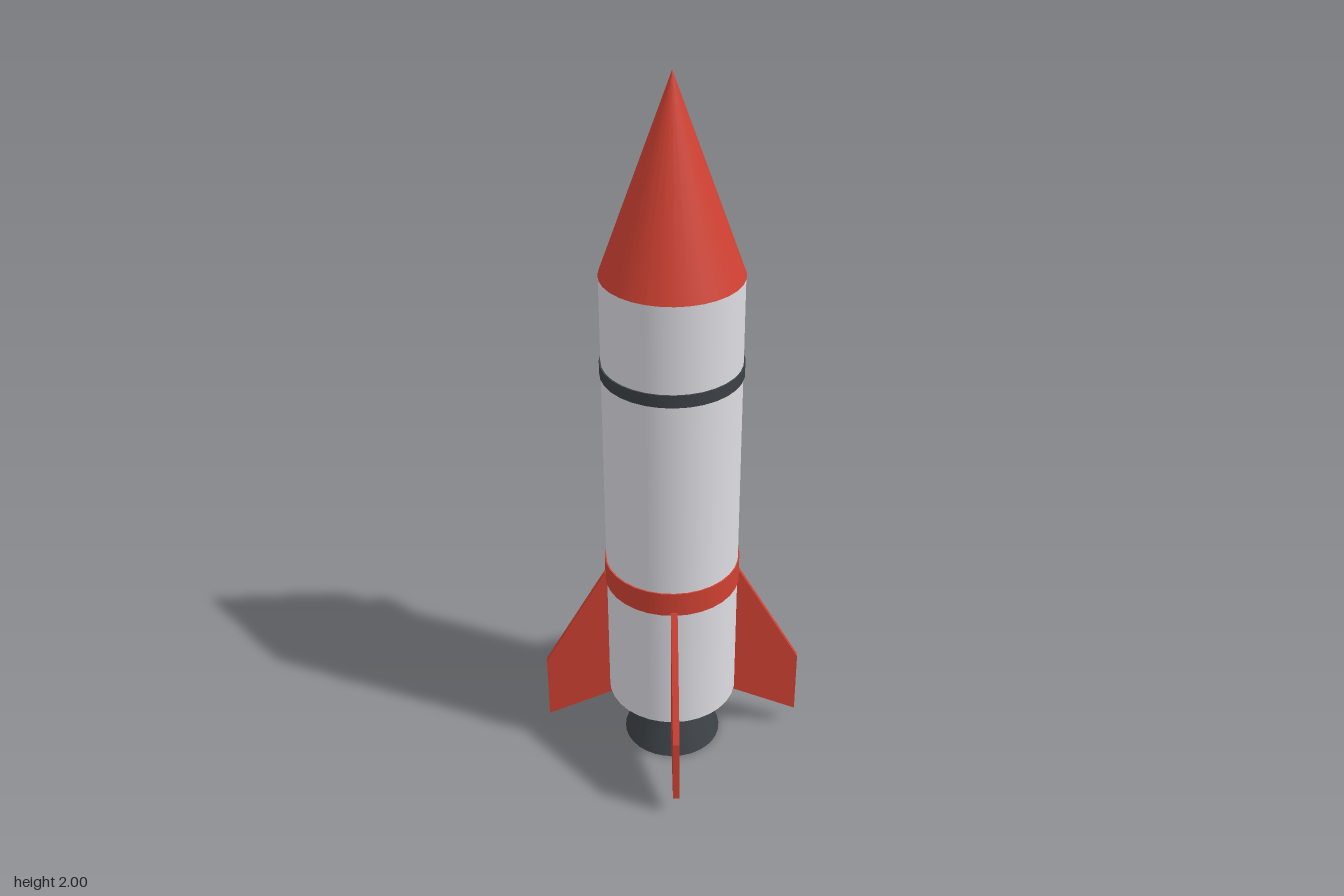
import * as THREE from 'three';

const SIDES = 32;
const BODY_RADIUS = 0.185;

const paint = (name, color) => {
  const material = new THREE.MeshStandardMaterial({ color });
  material.name = name;
  return material;
};

export function createModel() {
  const red = paint('red', 0xd04132);
  const white = paint('white', 0xdcdce2);
  const dark = paint('dark grey', 0x3c4146);
  const blue = paint('glass blue', 0x4088c4);

  const rocket = new THREE.Group();
  rocket.name = 'rocket';

  const add = (name, geometry, material, parent = rocket) => {
    const mesh = new THREE.Mesh(geometry, material);
    mesh.name = name;
    parent.add(mesh);
    return mesh;
  };

  // Upright round section between two heights
  const section = (name, bottom, top, rBottom, rTop, material) => {
    const geometry = new THREE.CylinderGeometry(rTop, rBottom, top - bottom, SIDES);
    add(name, geometry, material).position.y = (bottom + top) / 2;
  };

  // Stacked hull, from the engine to the nose
  section('engineNozzle', 0, 0.19, 0.14, 0.073, dark);
  section('body', 0.175, 1.49, BODY_RADIUS - 0.001, BODY_RADIUS - 0.001, white);
  section('lowerBand', 0.565, 0.637, 0.188, 0.188, red);
  section('upperBand', 1.215, 1.25, 0.188, 0.188, dark);
  const nose = new THREE.ConeGeometry(BODY_RADIUS, 0.51, SIDES);
  add('noseCone', nose, red).position.y = 1.745;

  // Four swept fins on the diagonals
  const thickness = 0.018;
  const outline = new THREE.Shape([
    [0.172, 0.145], [0.366, 0.06], [0.366, 0.26], [0.19, 0.575], [0.172, 0.575],
  ].map(([x, y]) => new THREE.Vector2(x, y)));
  const finGeometry = new THREE.ExtrudeGeometry(outline, { depth: thickness, bevelEnabled: false });
  finGeometry.translate(0, 0, -thickness / 2);
  for (let i = 0; i < 4; i++) {
    add(`fin${i + 1}`, finGeometry, red).rotation.y = Math.PI / 4 + i * Math.PI / 2;
  }

  // Porthole on the back: a rounded rim around a slightly domed pane
  const porthole = new THREE.Group();
  porthole.name = 'porthole';
  porthole.position.y = 1.376;
  porthole.rotation.x = -Math.PI / 2;
  rocket.add(porthole);
  const lathe = (points) => new THREE.LatheGeometry(
    points.map(([r, h]) => new THREE.Vector2(r, h)), 24);
  add('portholeRim', lathe([
    [0.066, 0.165], [0.07, 0.184], [0.066, 0.201], [0.056, 0.21], [0.046, 0.208], [0.037, 0.195], [0.036, 0.185],
  ]), dark, porthole);
  add('portholeGlass', lathe([[0.038, 0.192], [0.025, 0.197], [0, 0.199]]), blue, porthole);

  return rocket;
}
